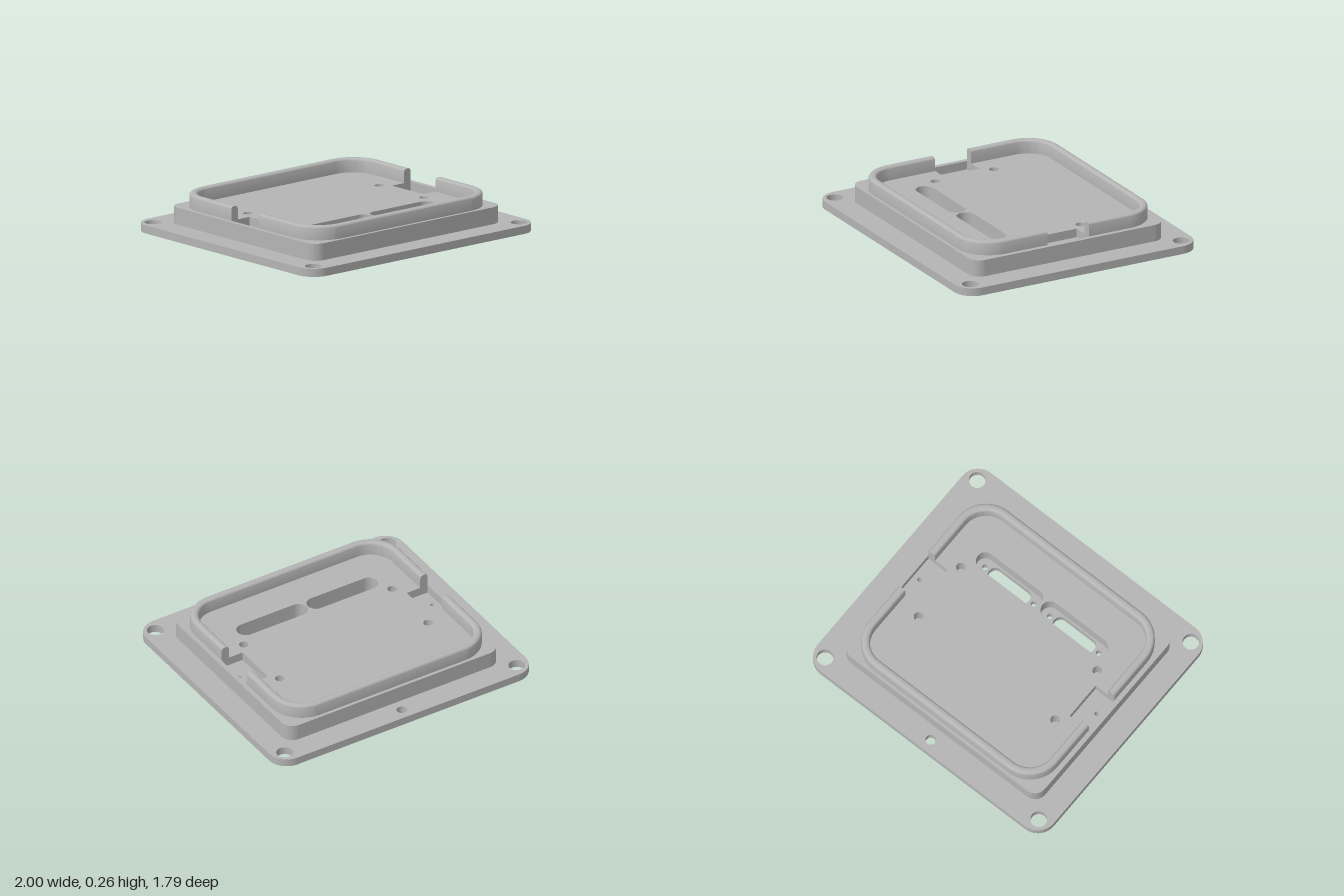
import * as THREE from 'three';
import { toCreasedNormals } from 'three/addons/utils/BufferGeometryUtils.js';

const PLATE_TOP = 0.055, POCKET_FLOOR = 0.11, BLOCK_TOP = 0.17, RIM_TOP = 0.265;

// Rounded rectangle outline between two corners, given in x and z (z is flipped for the extrusion)
function roundedRect(x0, x1, z0, z1, r, Type = THREE.Path) {
  const p = new Type(), a = -z1, b = -z0;
  p.moveTo(x0 + r, a);
  p.lineTo(x1 - r, a);
  p.absarc(x1 - r, a + r, r, -Math.PI / 2, 0, false);
  p.lineTo(x1, b - r);
  p.absarc(x1 - r, b - r, r, 0, Math.PI / 2, false);
  p.lineTo(x0 + r, b);
  p.absarc(x0 + r, b - r, r, Math.PI / 2, Math.PI, false);
  p.lineTo(x0, a + r);
  p.absarc(x0 + r, a + r, r, Math.PI, Math.PI * 1.5, false);
  return p;
}

function roundHole(x, z, r) {
  return new THREE.Path().absarc(x, -z, r, 0, Math.PI * 2, false);
}

function rectHole(x0, x1, z0, z1) {
  return new THREE.Path([[x0, z0], [x0, z1], [x1, z1], [x1, z0]].map(([x, z]) => new THREE.Vector2(x, -z)));
}

// Horizontal slab with holes, from y0 up to y1
function slab(outline, holes, y0, y1) {
  outline.holes = holes;
  const g = new THREE.ExtrudeGeometry(outline, { depth: y1 - y0, bevelEnabled: false, curveSegments: 14 });
  g.rotateX(-Math.PI / 2).translate(0, y0, 0);
  return toCreasedNormals(g, 0.6);
}

// Half of the rim: a filleted profile swept around two corners, with capped ends.
// side is +1 for the front half and -1 for the back half.
function rimHalf(side, endLeft, endRight) {
  const X = 0.797, Z = 0.703, R = 0.23, T = 0.057, F = 0.022, y0 = BLOCK_TOP;
  const profile = [[0, y0]];
  for (let i = 0; i <= 5; i++) {
    const a = (i / 5) * Math.PI / 2;
    profile.push([F - F * Math.cos(a), RIM_TOP - F + F * Math.sin(a)]);
  }
  for (let i = 0; i <= 5; i++) {
    const a = (i / 5) * Math.PI / 2;
    profile.push([T - F + F * Math.sin(a), RIM_TOP - F + F * Math.cos(a)]);
  }
  profile.push([T, y0]);

  // Stations: position and outward direction in x and z
  const stations = [[-X, endLeft, -1, 0]];
  for (const sx of [-1, 1]) {
    for (let i = 0; i <= 12; i++) {
      const t = (i / 12) * Math.PI / 2, a = sx < 0 ? t : Math.PI / 2 - t;
      const nx = sx * Math.cos(a), nz = side * Math.sin(a);
      stations.push([sx * (X - R) + R * nx, side * (Z - R) + R * nz, nx, nz]);
    }
  }
  stations.push([X, endRight, 1, 0]);

  const rings = stations.map(([x, z, nx, nz]) => profile.map(([d, y]) => [x - nx * d, y, z - nz * d]));
  const pos = [];
  const tri = (a, b, c) => (side > 0 ? pos.push(...a, ...b, ...c) : pos.push(...a, ...c, ...b));
  const n = profile.length, last = rings.length - 1;
  for (let s = 0; s < last; s++) {
    for (let i = 0; i < n; i++) {
      const j = (i + 1) % n;
      const a = rings[s][i], b = rings[s + 1][i], c = rings[s + 1][j], d = rings[s][j];
      tri(a, b, c);
      tri(a, c, d);
    }
  }
  for (let i = 1; i < n - 1; i++) {
    tri(rings[0][0], rings[0][i], rings[0][i + 1]);
    tri(rings[last][0], rings[last][i + 1], rings[last][i]);
  }
  const g = new THREE.BufferGeometry();
  g.setAttribute('position', new THREE.Float32BufferAttribute(pos, 3));
  return toCreasedNormals(g, 0.6);
}

export function createModel() {
  const group = new THREE.Group();
  const grey = new THREE.MeshStandardMaterial({ color: 0xb4b4b4 });
  grey.name = 'grey';
  const add = (name, geometry) => {
    const mesh = new THREE.Mesh(geometry, grey);
    mesh.name = name;
    group.add(mesh);
  };

  const pinHoles = () => [-1, 1].map((s) => roundHole(s * 0.75, 0, 0.015));

  // Base plate: mounting holes, connector slots and their screw holes
  const plateHoles = [roundHole(0, -0.813, 0.035), ...pinHoles()];
  for (const s of [-1, 1]) {
    for (const t of [-1, 1]) plateHoles.push(roundHole(s * 0.905, t * 0.8, 0.056));
    const c = s * 0.275;
    plateHoles.push(roundedRect(c - 0.168, c + 0.168, 0.303, 0.407, 0.05));
    for (const t of [-1, 1]) plateHoles.push(roundHole(c + t * 0.206, 0.356, 0.019));
  }
  add('basePlate', slab(roundedRect(-1, 1, -0.895, 0.895, 0.135, THREE.Shape), plateHoles, 0, PLATE_TOP));

  // Raised block: connector recesses and blind screw holes run through both layers
  const blockHoles = () => {
    const holes = [];
    for (const s of [-1, 1]) {
      const c = s * 0.274;
      holes.push(roundedRect(c - 0.268, c + 0.268, 0.294, 0.419, 0.062));
      for (const t of [-1, 1]) holes.push(roundHole(s * 0.578, t * 0.222, 0.032));
    }
    return holes;
  };
  const block = () => roundedRect(-0.83, 0.83, -0.725, 0.725, 0.085, THREE.Shape);
  add('blockLower', slab(block(), [...blockHoles(), ...pinHoles()], PLATE_TOP, POCKET_FLOOR));

  // Upper layer is cut by the two side pockets
  const pockets = [rectHole(-0.797, -0.635, -0.14, 0.132), rectHole(0.633, 0.797, -0.16, 0.152)];
  add('blockUpper', slab(block(), [...blockHoles(), ...pockets], POCKET_FLOOR, BLOCK_TOP));

  // Rim in two halves, leaving a gap at each pocket
  add('frontRim', rimHalf(1, 0.132, 0.152));
  add('backRim', rimHalf(-1, -0.14, -0.16));

  return group;
}
